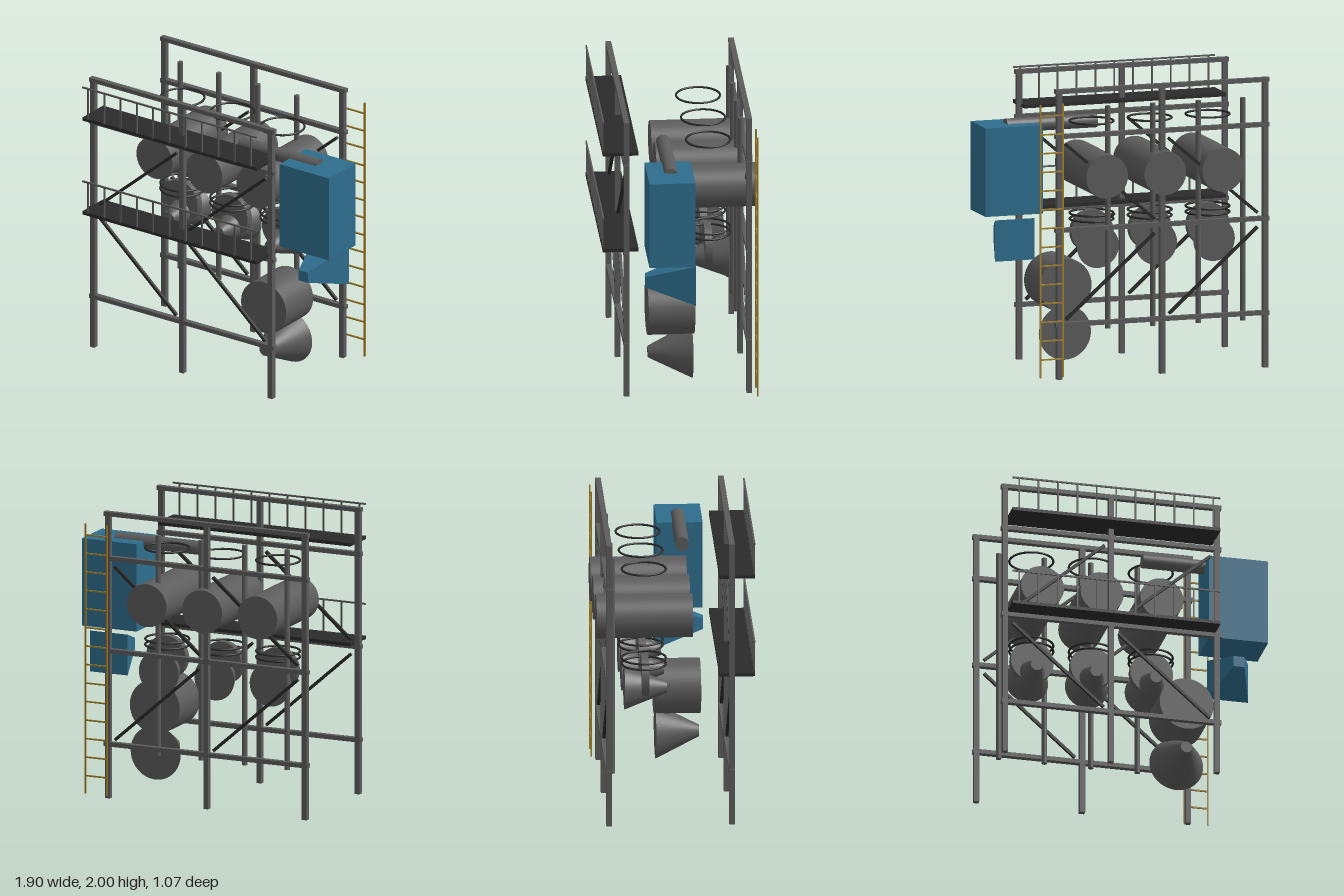
import * as THREE from 'three';

const mat = (name, color) => {
  const m = new THREE.MeshStandardMaterial({ color });
  m.name = name;
  return m;
};

export function createModel() {
  const steel = mat('steel grey', 0x5c5c5c);
  const dark = mat('dark steel', 0x2a2a2a);
  const blue = mat('blue paint', 0x2e6e8e);
  const yellow = mat('ladder yellow', 0xa5842f);
  const root = new THREE.Group();
  root.name = 'processPlant';

  const group = (name) => {
    const g = new THREE.Group();
    g.name = name;
    root.add(g);
    return g;
  };
  const add = (parent, name, geo, material, x, y, z) => {
    const m = new THREE.Mesh(geo, material);
    m.name = name;
    m.position.set(x, y, z);
    parent.add(m);
    return m;
  };
  const box = (p, name, material, w, h, d, x, y, z) =>
    add(p, name, new THREE.BoxGeometry(w, h, d), material, x, y, z);
  // Round body lying along z, from z0 (back radius) to z1 (front radius)
  const drum = (p, name, rBack, rFront, x, y, z0, z1) =>
    add(p, name, new THREE.CylinderGeometry(rFront, rBack, z1 - z0, 40).rotateX(Math.PI / 2),
      steel, x, y, (z0 + z1) / 2);
  // Diagonal bar in the xy plane
  const brace = (p, x0, y0, x1, y1, z) => {
    const m = box(p, 'brace', dark, Math.hypot(x1 - x0, y1 - y0), 0.02, 0.02,
      (x0 + x1) / 2, (y0 + y1) / 2, z);
    m.rotation.z = Math.atan2(y1 - y0, x1 - x0);
  };

  // Front and back frames
  for (const [name, z] of [['frontFrame', 0.372], ['backFrame', -0.464]]) {
    const frame = group(name);
    for (const x of [-0.925, -0.185, 0.555]) box(frame, 'post', steel, 0.037, 2, 0.037, x, 1, z);
    for (const y of [1.985, 1.675, 1.028, 0.377])
      box(frame, 'beam', steel, 1.535, 0.03, 0.038, -0.183, y, z);
    for (const x of [-0.87, -0.13]) {
      brace(frame, x, 1.07, x + 0.64, 1.62, z);
      brace(frame, x, 0.97, x + 0.635, 0.41, z);
    }
  }

  // Walkways with handrails
  for (const y of [1.754, 1.056]) {
    const walkway = group('walkway');
    box(walkway, 'deck', dark, 1.45, 0.023, 0.243, -0.182, y, 0.41);
    box(walkway, 'handrail', steel, 1.45, 0.011, 0.011, -0.182, y + 0.234, 0.527);
    for (let i = 0; i < 11; i++)
      box(walkway, 'railPost', steel, 0.01, 0.23, 0.01, -0.862 + i * 0.1355, y + 0.118, 0.527);
  }

  // Vertical pipes against the back frame
  const pipes = group('verticalPipes');
  for (const x of [-0.775, -0.455, -0.13, 0.195])
    add(pipes, 'pipe', new THREE.CylinderGeometry(0.019, 0.019, 1.535, 16), steel, x, 1.095, -0.435);

  // Three vessels with their cones, discs and rings
  for (const x of [-0.6, -0.184, 0.234]) {
    const unit = group('vesselUnit');
    drum(unit, 'vessel', 0.15, 0.15, x, 1.39, -0.537, 0.118);
    drum(unit, 'cone', 0.15, 0.04, x, 0.88, -0.345, -0.055);
    drum(unit, 'disc', 0.15, 0.15, x, 0.965, -0.23, -0.18);
    for (const y of [1.724, 1.09, 1.05])
      add(unit, 'ring', new THREE.TorusGeometry(0.15, 0.0075, 8, 40).rotateX(Math.PI / 2),
        dark, x, y, -0.211);
  }

  // Lower collecting tank and its cone
  const tank = group('lowerTank');
  drum(tank, 'tank', 0.188, 0.188, 0.382, 0.572, -0.097, 0.22);
  drum(tank, 'tankCone', 0.188, 0.04, 0.382, 0.25, -0.085, 0.213);

  // Filter housing with a square hopper and feed duct
  const filter = group('filterUnit');
  box(filter, 'housing', blue, 0.412, 0.61, 0.313, 0.739, 1.381, 0.09);
  const half = 0.285 / Math.SQRT2, tip = 0.076 / Math.SQRT2;
  const hopper = new THREE.CylinderGeometry(tip, half, 0.335, 4).toNonIndexed();
  hopper.rotateY(Math.PI / 4).rotateX(Math.PI / 2).computeVertexNormals();
  add(filter, 'hopper', hopper, blue, 0.739, 0.908, 0.091);
  add(filter, 'duct', new THREE.CylinderGeometry(0.048, 0.048, 0.65, 32).rotateZ(Math.PI / 2),
    steel, 0.426, 1.67, 0.085);

  // Access ladder
  const ladder = group('ladder');
  for (const x of [0.543, 0.705]) box(ladder, 'ladderRail', yellow, 0.01, 1.885, 0.01, x, 0.968, -0.512);
  for (let i = 0; i < 14; i++)
    box(ladder, 'rung', yellow, 0.165, 0.01, 0.01, 0.624, 0.15 + i * 0.1293, -0.512);

  return root;
}
